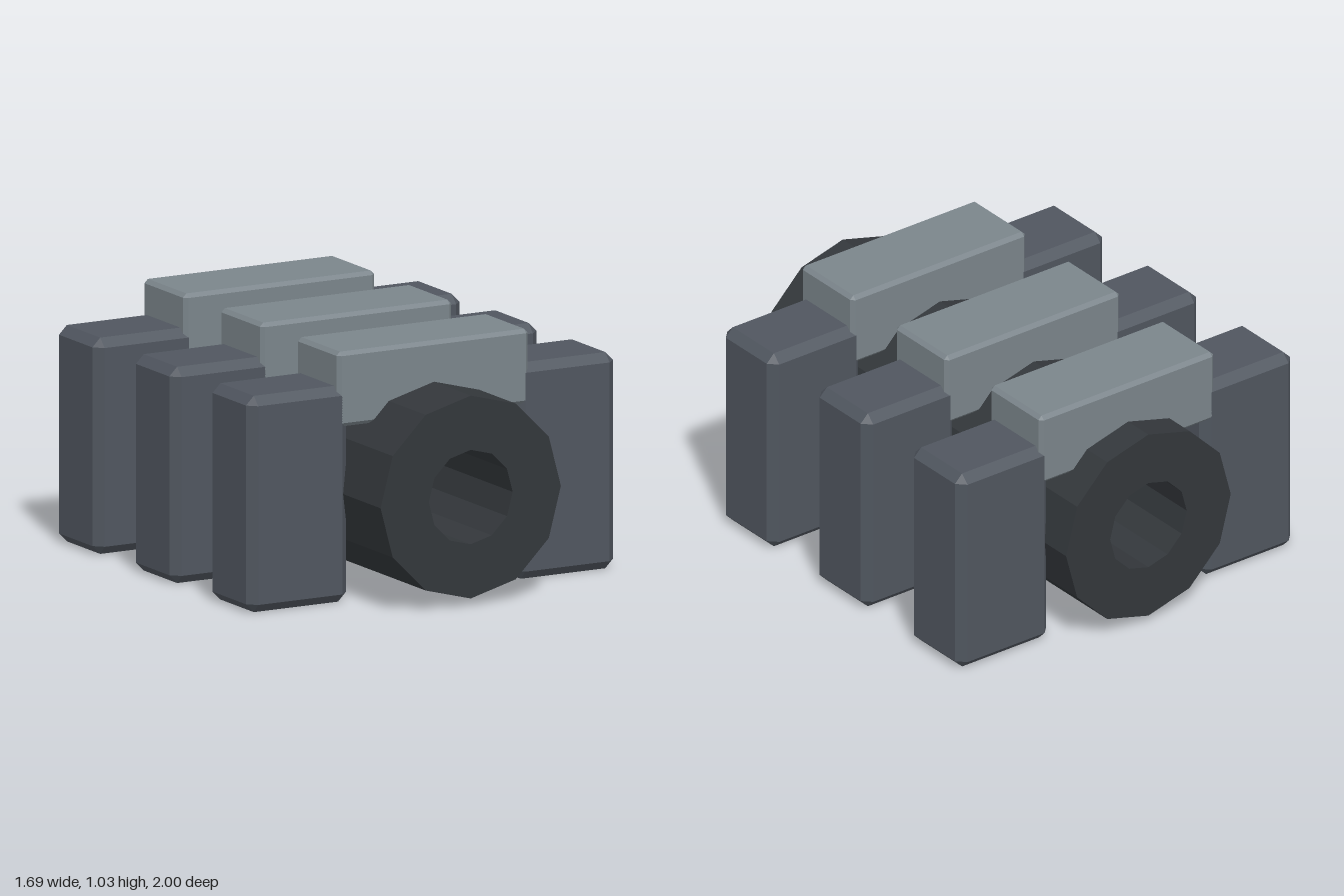
import * as THREE from 'three';
import { ConvexGeometry } from 'three/addons/geometries/ConvexGeometry.js';

const material = (color) => new THREE.MeshStandardMaterial({ color, flatShading: true });

// Box with every edge cut by a flat chamfer
function chamferBox(w, h, d, c) {
  const points = [];
  for (const sx of [-1, 1]) for (const sy of [-1, 1]) for (const sz of [-1, 1]) {
    for (let axis = 0; axis < 3; axis++) {
      const inset = [c, c, c];
      inset[axis] = 0;
      points.push(new THREE.Vector3(
        sx * (w / 2 - inset[0]), sy * (h / 2 - inset[1]), sz * (d / 2 - inset[2])));
    }
  }
  return new ConvexGeometry(points);
}

// Twelve corners of a ring outline
function ringPoints(radius, sides = 12) {
  return Array.from({ length: sides }, (_, i) => {
    const a = (i / sides) * Math.PI * 2;
    return new THREE.Vector2(Math.cos(a) * radius, Math.sin(a) * radius);
  });
}

export function createModel() {
  const model = new THREE.Group();
  model.name = 'tubeWithClamps';

  const add = (parent, name, geometry, mat, x, y, z) => {
    const mesh = new THREE.Mesh(geometry, mat);
    mesh.name = name;
    mesh.position.set(x, y, z);
    parent.add(mesh);
  };

  // Hollow twelve-sided tube running front to back
  const ring = new THREE.Shape(ringPoints(0.415));
  ring.holes.push(new THREE.Path(ringPoints(0.193)));
  const tube = new THREE.ExtrudeGeometry(ring, { depth: 2, bevelEnabled: false });
  add(model, 'tube', tube, material(0x33373b), 0, 0.445, -1);

  // Three clamps: a block on each side and a bridge over the tube
  const blockGeometry = chamferBox(0.46, 0.885, 0.34, 0.036);
  const bridgeGeometry = chamferBox(0.88, 0.307, 0.34, 0.016);
  const blockMaterial = material(0x50565f);
  const bridgeMaterial = material(0x7b858b);
  for (const z of [0.535, -0.08, -0.697]) {
    const clamp = new THREE.Group();
    clamp.name = 'clamp';
    clamp.position.z = z;
    add(clamp, 'leftBlock', blockGeometry, blockMaterial, 0.615, 0.4425, 0);
    add(clamp, 'rightBlock', blockGeometry, blockMaterial, -0.615, 0.4425, 0);
    add(clamp, 'bridge', bridgeGeometry, bridgeMaterial, 0, 0.8735, 0);
    model.add(clamp);
  }
  return model;
}
